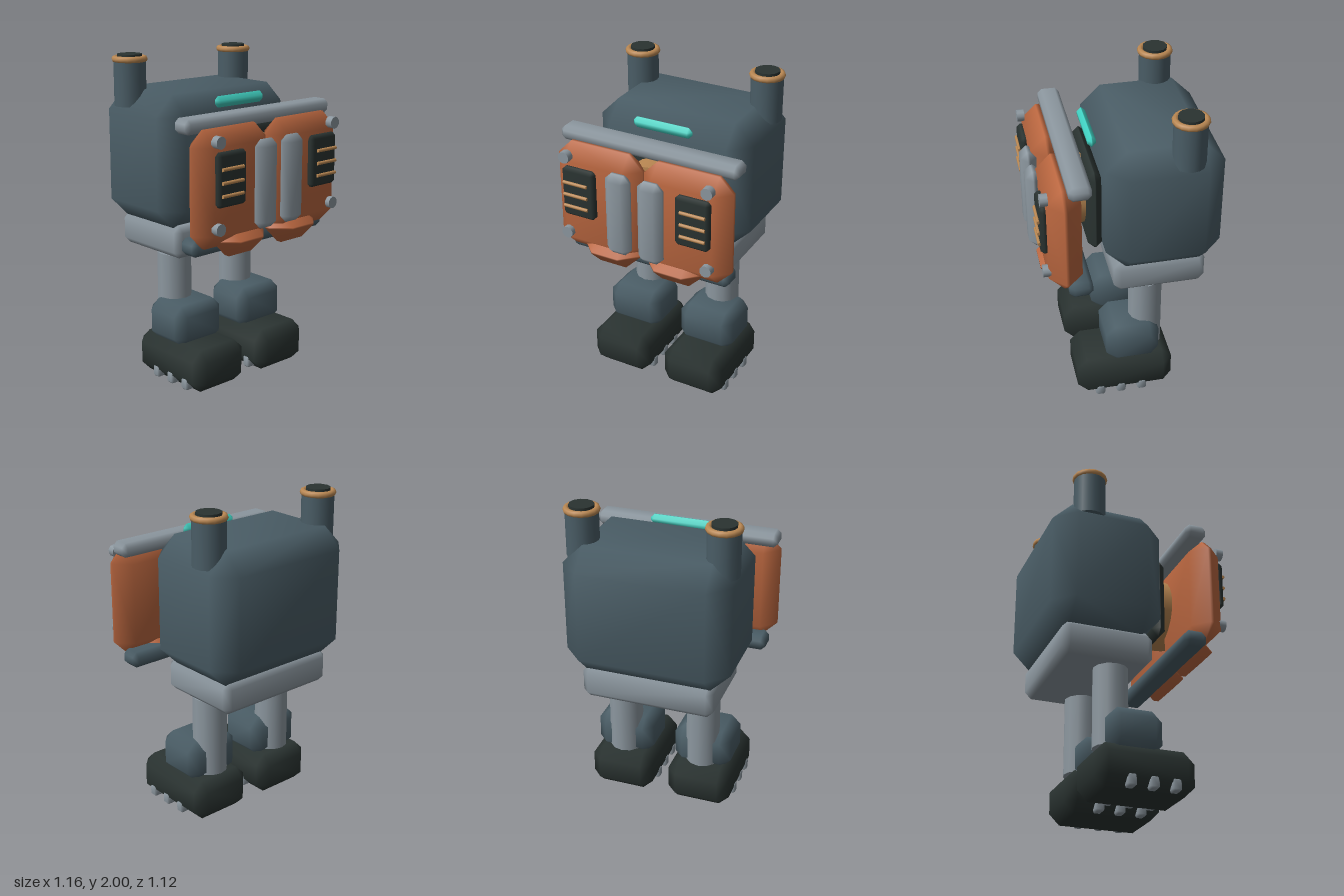
import * as THREE from 'three';
import { mergeVertices } from 'three/addons/utils/BufferGeometryUtils.js';
import { ConvexGeometry } from 'three/addons/geometries/ConvexGeometry.js';

const paint = (name, color) => {
  const m = new THREE.MeshStandardMaterial({ color });
  m.name = name;
  return m;
};

// Box with a single chamfer c on every edge and soft normals, given by its limits
function chamferBox(x, y, z, c) {
  const mid = [x, y, z].map(([a, b]) => (a + b) / 2);
  const h = [x, y, z].map(([a, b]) => (b - a) / 2);
  const points = [];
  for (const sx of [-1, 1]) for (const sy of [-1, 1]) for (const sz of [-1, 1])
    for (let axis = 0; axis < 3; axis++) {
      const p = [sx, sy, sz].map((s, i) => mid[i] + s * (i === axis ? h[i] : h[i] - c));
      points.push(new THREE.Vector3(...p));
    }
  let g = new ConvexGeometry(points);
  g.deleteAttribute('normal');
  g = mergeVertices(g, 1e-4);
  g.computeVertexNormals();
  return g;
}

export function createModel() {
  const model = new THREE.Group();
  model.name = 'boxRobot';
  const slate = paint('slate', 0x4a5d66);
  const steel = paint('steel', 0x8c979f);
  const black = paint('charcoal', 0x2a3331);
  const orange = paint('copperOrange', 0xb9663f);
  const tan = paint('brass', 0xb98752);
  const cyan = paint('cyanGlow', 0x40cfc0);

  const add = (parent, name, geometry, material, position = [0, 0, 0]) => {
    const mesh = new THREE.Mesh(geometry, material);
    mesh.name = name;
    mesh.position.set(...position);
    parent.add(mesh);
    return mesh;
  };
  const box = (parent, name, material, x, y, z, c) =>
    add(parent, name, chamferBox(x, y, z, c), material);
  // Limits mirrored to the given side
  const side = (s, a, b) => (s > 0 ? [a, b] : [-b, -a]);

  // Torso and hips
  box(model, 'body', slate, [-0.512, 0.512], [0.98, 1.79], [-0.56, 0.137], 0.124);
  box(model, 'pelvis', steel, [-0.413, 0.413], [0.795, 1.0], [-0.477, 0.085], 0.04);

  // Neck joint behind the face
  box(model, 'neckGasket', black, [-0.305, 0.305], [1.055, 1.59], [0.13, 0.22], 0.042);
  const neck = new THREE.CylinderGeometry(0.224, 0.224, 0.2, 24).rotateX(Math.PI / 2);
  add(model, 'neck', neck, tan, [0, 1.337, 0.25]);

  // Face rails and light bar
  box(model, 'topRail', steel, [-0.582, 0.582], [1.618, 1.706], [0.244, 0.376], 0.025);
  box(model, 'bottomRail', slate, [-0.537, 0.537], [0.9, 1.0], [0.237, 0.378], 0.028);
  box(model, 'lightBar', cyan, [-0.193, 0.193], [1.708, 1.775], [0.146, 0.196], 0.023);

  for (const s of [-1, 1]) {
    const label = s > 0 ? 'left' : 'right';

    // Face panel with handle, vent, bolts and lower hood
    const face = new THREE.Group();
    face.name = label + 'Face';
    model.add(face);
    box(face, 'facePanel', orange, side(s, 0.004, 0.576), [0.955, 1.645], [0.293, 0.493], 0.09);
    box(face, 'lowerHood', orange, side(s, 0.025, 0.405), [0.88, 1.09], [0.28, 0.515], 0.1);
    box(face, 'handle', steel, side(s, 0.025, 0.187), [1.04, 1.565], [0.463, 0.557], 0.04);
    box(face, 'vent', black, side(s, 0.265, 0.483), [1.215, 1.53], [0.47, 0.53], 0.02);
    for (const y of [1.285, 1.36, 1.438]) {
      const slat = new THREE.CylinderGeometry(0.011, 0.011, 0.16, 8).rotateZ(Math.PI / 2);
      add(face, 'ventSlat', slat, tan, [s * 0.385, y, 0.534]);
    }
    for (const y of [1.09, 1.588]) {
      const bolt = new THREE.CylinderGeometry(0.037, 0.037, 0.045, 10).rotateX(Math.PI / 2);
      add(face, 'bolt', bolt, steel, [s * 0.465, y, 0.502]);
    }

    // Exhaust stack
    const stack = new THREE.Group();
    stack.name = label + 'Exhaust';
    stack.position.set(s * 0.423, 0, -0.337);
    model.add(stack);
    add(stack, 'exhaustPipe', new THREE.CylinderGeometry(0.098, 0.098, 0.28, 16), slate, [0, 1.83, 0]);
    const rim = new THREE.TorusGeometry(0.089, 0.02, 8, 16).rotateX(Math.PI / 2);
    add(stack, 'exhaustRim', rim, tan, [0, 1.97, 0]);
    add(stack, 'exhaustOpening', new THREE.CylinderGeometry(0.075, 0.075, 0.04, 12), black, [0, 1.98, 0]);

    // Leg and foot
    const leg = new THREE.Group();
    leg.name = label + 'Leg';
    leg.position.x = s * 0.259;
    model.add(leg);
    add(leg, 'upperLeg', new THREE.CylinderGeometry(0.107, 0.107, 0.5, 12), steel, [0, 0.53, -0.137]);
    box(leg, 'shin', slate, [-0.186, 0.186], [0.235, 0.497], [-0.2, 0.135], 0.06);
    box(leg, 'foot', black, [-0.204, 0.204], [0, 0.268], [-0.286, 0.326], 0.065);
    for (const e of [-1, 1]) for (const z of [0.189, 0.054, -0.081])
      box(leg, 'cleat', steel, side(e, 0.14, 0.211), [0.01, 0.085], [z - 0.029, z + 0.029], 0.012);
  }
  return model;
}
